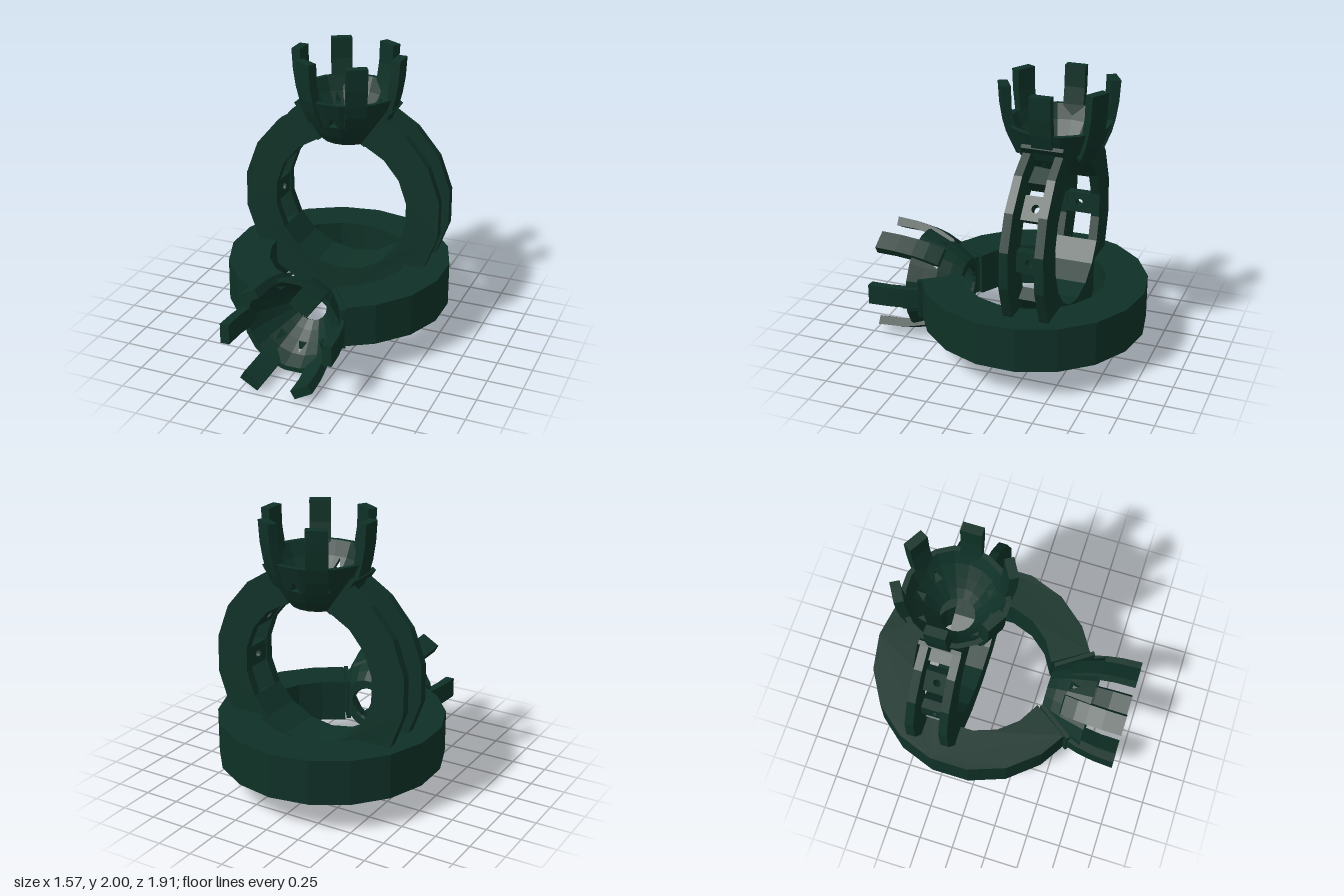
import * as THREE from 'three';

const rad = THREE.MathUtils.degToRad;
const green = new THREE.MeshStandardMaterial({ color: 0x0f3127, flatShading: true });
green.name = 'dark green';

function add(parent, name, geometry) {
  const mesh = new THREE.Mesh(geometry, green);
  mesh.name = name;
  parent.add(mesh);
  return mesh;
}

// Move every vertex by a rule
function reshape(geometry, rule) {
  const p = geometry.attributes.position;
  const v = new THREE.Vector3();
  for (let i = 0; i < p.count; i++) {
    rule(v.fromBufferAttribute(p, i));
    p.setXYZ(i, v.x, v.y, v.z);
  }
  geometry.computeVertexNormals();
  return geometry;
}

function polygon(points) {
  return new THREE.Shape(points.map(([x, y]) => new THREE.Vector2(x, y)));
}

function extrude(shape, depth) {
  return new THREE.ExtrudeGeometry(shape, { depth, bevelEnabled: false, curveSegments: 5 });
}

// Faceted arc band; angles in degrees from straight down, slant lengthens the inner edge
function arcBand(rIn, rOut, a0, a1, slant = 0) {
  const edge = (r, s, e) => {
    const angles = [s];
    for (let a = -180; a <= 180; a += 20) if (a > s + 1 && a < e - 1) angles.push(a);
    angles.push(e);
    return angles.map(a => [r * Math.sin(rad(a)), -r * Math.cos(rad(a))]);
  };
  return polygon([...edge(rOut, a0, a1), ...edge(rIn, a0 - slant, a1 + slant).reverse()]);
}

// Pierced bowl with six prongs; stands on its base at y = 0
function makeSetting() {
  const g = new THREE.Group();
  const lathe = pts => new THREE.LatheGeometry(
    pts.map(([x, y]) => new THREE.Vector2(x, y)), 18, rad(10));
  add(g, 'bowlBase', lathe([[0.12, 0.02], [0.13, 0], [0.19, 0], [0.24, 0.07], [0.285, 0.15],
    [0.22, 0.15], [0.17, 0.08], [0.12, 0.02]]));
  add(g, 'bowlRim', lathe([[0.28, 0.24], [0.32, 0.24], [0.36, 0.34], [0.325, 0.34], [0.28, 0.24]]));

  // Middle of the bowl, with triangular piercings in six of the facets
  const pierced = [0, 2, 7, 9, 11, 16];
  for (let i = 0; i < 18; i++) {
    const panel = polygon([[-1, 0.15], [1, 0.15], [1, 0.24], [-1, 0.24]]);
    if (pierced.includes(i)) {
      panel.holes.push(polygon([[-0.75, 0.157], [0, 0.235], [0.75, 0.157]]));
    }
    const geo = reshape(extrude(panel, 1), v => {
      const t = (v.y - 0.15) / 0.09;
      const r = THREE.MathUtils.lerp(0.22 + 0.06 * t, 0.285 + 0.035 * t, v.z);
      v.x *= r * Math.sin(rad(10));
      v.z = r * Math.cos(rad(10));
    });
    add(g, 'bowlPanel', geo.rotateY(rad(20 * i)));
  }

  // Prongs
  const prong = polygon([[0.28, 0.14], [0.3, 0.15], [0.345, 0.25], [0.37, 0.34], [0.39, 0.46],
    [0.4, 0.61], [0.335, 0.61], [0.33, 0.46], [0.31, 0.34], [0.285, 0.24]]);
  for (let i = 0; i < 6; i++) {
    add(g, 'prong', extrude(prong, 0.145).translate(0, 0, -0.0725).rotateY(rad(60 * i)));
  }

  // Collar plates where the band meets the bowl
  for (const s of [-1, 1]) {
    const plate = add(g, 'collarPlate', new THREE.BoxGeometry(0.31, 0.03, 0.29));
    plate.position.set(s * 0.25, 0.125, 0);
    plate.rotation.z = s * rad(55);
  }
  return g;
}

// Upright band: two rails joined by bridges
function makeOpenBand() {
  const g = new THREE.Group();
  const taper = geo => reshape(geo, v => {
    v.z *= 1 - 0.13 * THREE.MathUtils.clamp((v.y + 0.35) / 1.05, 0, 1);
  });
  for (const z of [-0.16, 0.095]) {
    add(g, 'rail', taper(extrude(arcBand(0.5, 0.742, -155, 155, 5), 0.065).translate(0, 0, z)));
  }
  const between = (name, rIn, rOut, a0, a1) =>
    add(g, name, taper(extrude(arcBand(rIn, rOut, a0, a1), 0.2).translate(0, 0, -0.1)));
  between('bandBottom', 0.5, 0.742, -40, 40);
  for (const s of [-1, 1]) {
    between('lowerBridge', 0.5, 0.6, s > 0 ? 38 : -60, s > 0 ? 60 : -38);
    between('upperBridge', 0.5, 0.6, s > 0 ? 143 : -159, s > 0 ? 159 : -143);
    // Flat bridges with a round drilled hole
    for (const [angle, length] of [[0, 0.15], [37, 0.17]]) {
      const shape = polygon([[-0.1, -length / 2], [0.1, -length / 2], [0.1, length / 2], [-0.1, length / 2]]);
      shape.holes.push(new THREE.Path().absarc(0, 0, 0.03, 0, Math.PI * 2, true));
      const geo = extrude(shape, 0.07).translate(0, 0, 0.5).rotateY(Math.PI / 2).rotateZ(rad(angle));
      if (s < 0) geo.rotateY(Math.PI);
      add(g, 'drilledBridge', taper(geo));
    }
  }
  return g;
}

export function createModel() {
  const model = new THREE.Group();
  model.name = 'pairOfRings';

  // Upright ring
  const upright = new THREE.Group();
  upright.name = 'uprightRing';
  const openBand = makeOpenBand();
  openBand.name = 'openBand';
  openBand.position.y = 0.92;
  const topSetting = makeSetting();
  topSetting.name = 'topSetting';
  topSetting.position.y = 1.39;
  upright.add(openBand, topSetting);
  upright.position.z = -0.32;
  model.add(upright);

  // Flat ring, solid and slightly thinner towards its setting
  const flat = new THREE.Group();
  flat.name = 'flatRing';
  const bandGeo = extrude(arcBand(0.505, 0.797, -155, 155, 5), 0.32)
    .translate(0, 0, -0.16).rotateX(Math.PI / 2);
  const band = add(flat, 'solidBand', reshape(bandGeo, v => {
    v.y *= 1 - 0.08 * THREE.MathUtils.clamp(v.z / 0.7, 0, 1);
  }));
  band.position.set(0, 0.38, -0.16);
  const frontSetting = makeSetting();
  frontSetting.name = 'frontSetting';
  frontSetting.rotation.x = Math.PI / 2;
  frontSetting.position.set(0, 0.38, 0.345);
  flat.add(frontSetting);
  model.add(flat);

  return model;
}
